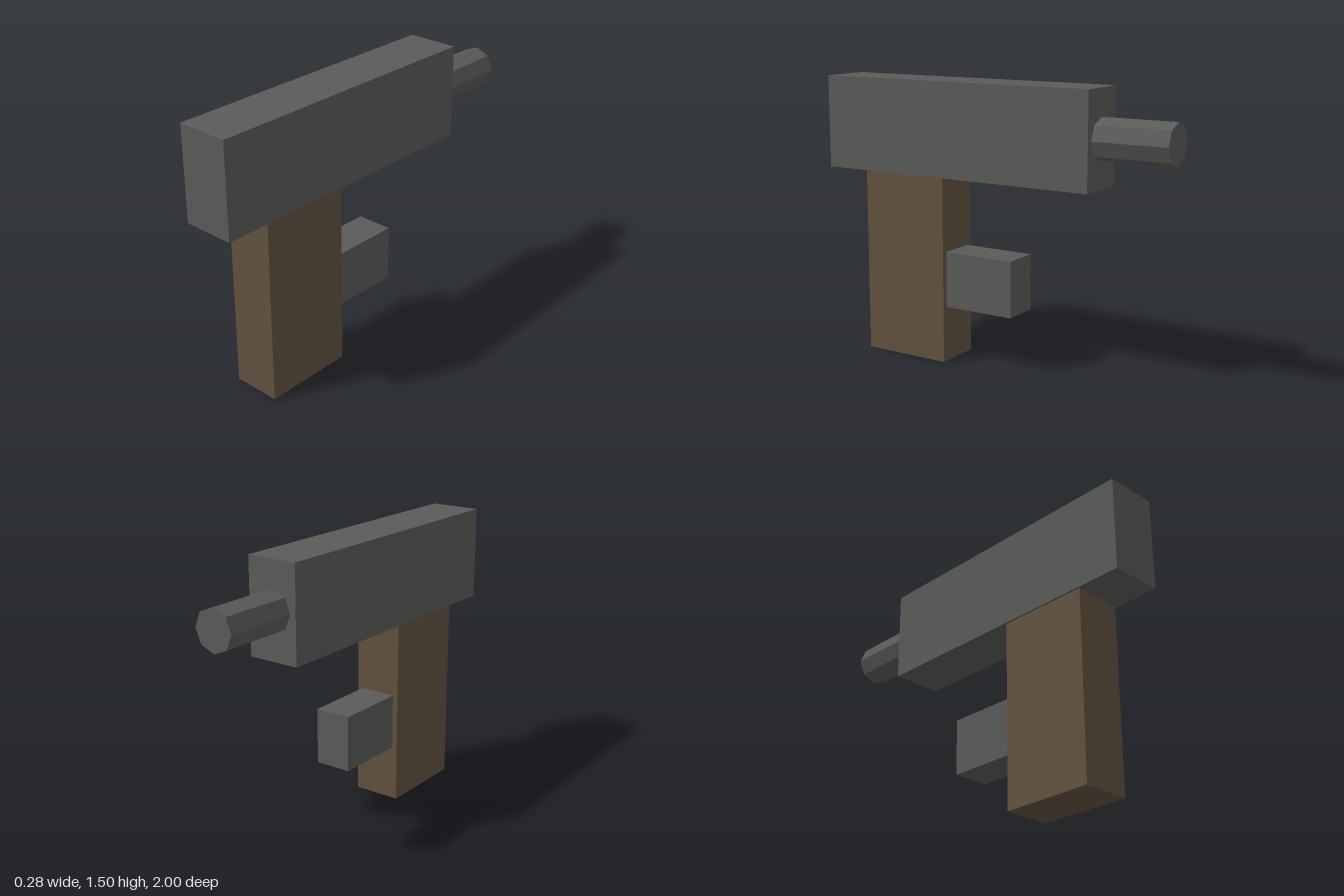
import * as THREE from 'three';

export function createModel() {
  const model = new THREE.Group();
  const material = (name, color) => {
    const m = new THREE.MeshStandardMaterial({ color, flatShading: true });
    m.name = name;
    return m;
  };
  const metal = material('gunmetal grey', 0x5a5c59);
  const wood = material('dark brown', 0x625240);

  const add = (name, geometry, mat, y, z) => {
    const mesh = new THREE.Mesh(geometry, mat);
    mesh.name = name;
    mesh.position.set(0, y, z);
    model.add(mesh);
  };

  // Long body on top
  add('body', new THREE.BoxGeometry(0.28, 0.5, 1.6), metal, 1.25, 0.2);

  // Upright handle
  add('grip', new THREE.BoxGeometry(0.26, 1, 0.5), wood, 0.5, 0.505);

  // Block trigger ahead of the handle
  add('trigger', new THREE.BoxGeometry(0.2, 0.3, 0.4), metal, 0.45, 0.055);

  // Eight-sided barrel pointing to -z, corners on the axes
  const barrel = new THREE.CylinderGeometry(0.108, 0.108, 0.4, 8).rotateX(-Math.PI / 2);
  add('barrel', barrel, metal, 1.25, -0.8);

  return model;
}
